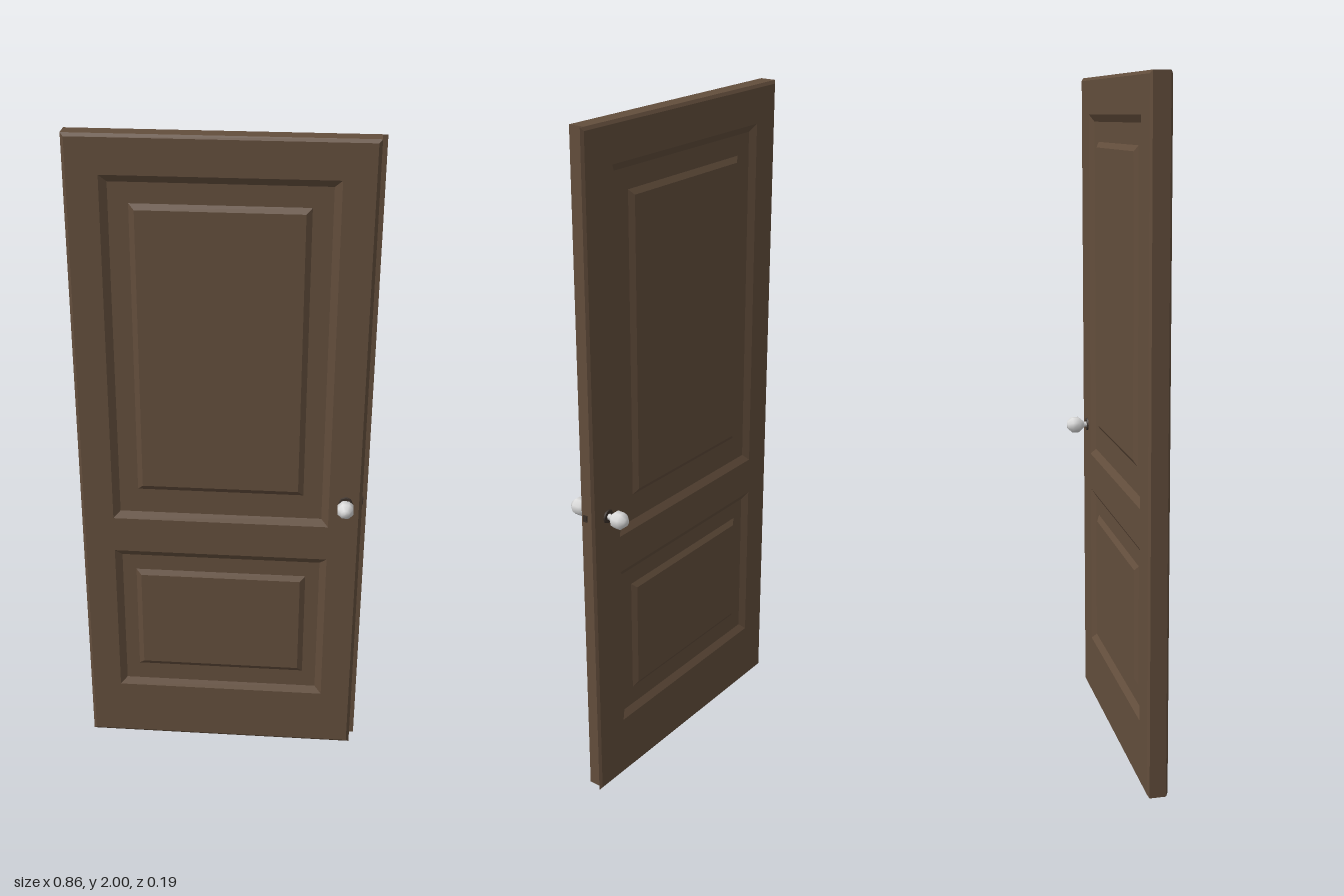
import * as THREE from 'three';

const wood = new THREE.MeshStandardMaterial({ color: 0x634e3c });
wood.name = 'brown wood';
const white = new THREE.MeshStandardMaterial({ color: 0xdcdcdc });
white.name = 'pale knob';
const dark = new THREE.MeshStandardMaterial({ color: 0x3a3029 });
dark.name = 'dark metal';

const FRONT = 0.028, BACK = -0.033, CX = -0.01;

const corners = ([x0, x1, y0, y1, z]) => [[x0, y0, z], [x1, y0, z], [x1, y1, z], [x0, y1, z]];

// Joins a row of rectangles [x0, x1, y0, y1, z] with flat quads, optionally closing the last one
function loftRects(rects, cap = false) {
  const pos = [];
  const quad = (a, b, c, d) => pos.push(...a, ...b, ...c, ...a, ...c, ...d);
  const loops = rects.map(corners);
  for (let k = 0; k + 1 < loops.length; k++) {
    const a = loops[k], b = loops[k + 1];
    for (let i = 0; i < 4; i++) {
      const j = (i + 1) % 4;
      quad(a[i], a[j], b[j], b[i]);
    }
  }
  if (cap) quad(...loops[loops.length - 1]);
  const geo = new THREE.BufferGeometry();
  geo.setAttribute('position', new THREE.Float32BufferAttribute(pos, 3));
  geo.computeVertexNormals();
  return geo;
}

function mesh(geo, mat, name) {
  const m = new THREE.Mesh(geo, mat);
  m.name = name;
  return m;
}

// Half width and height range of each recess and of its raised field
const PANELS = [
  { name: 'upperPanel', w: 0.325, y: [0.825, 1.89], fieldW: 0.248, fieldY: [0.925, 1.81] },
  { name: 'lowerPanel', w: 0.325, y: [0.195, 0.71], fieldW: 0.262, fieldY: [0.275, 0.637] },
];

// One side of the door, built facing +z; the back one is turned around
function doorFace(name, x0, x1, cx, z) {
  const group = new THREE.Group();
  group.name = name;
  const path = (C, r) => new C(corners([...r, 0]).map(([x, y]) => new THREE.Vector2(x, y)));
  const frame = path(THREE.Shape, [x0, x1, 0.009, 1.991]);

  for (const p of PANELS) {
    const ring = (w, [y0, y1], inset, depth) =>
      [cx - w + inset, cx + w - inset, y0 + inset, y1 - inset, z - depth];
    frame.holes.push(path(THREE.Path, ring(p.w, p.y, 0, 0).slice(0, 4)));
    // sloped moulding, recessed margin, raised field
    group.add(mesh(loftRects([
      ring(p.w, p.y, 0, 0),
      ring(p.w, p.y, 0.021, 0.013),
      ring(p.fieldW, p.fieldY, 0, 0.013),
      ring(p.fieldW, p.fieldY, 0.016, 0.003),
    ], true), wood, p.name));
  }
  group.add(mesh(new THREE.ShapeGeometry(frame).translate(0, 0, z), wood, 'frame'));
  return group;
}

// Knob with its rosette, turned around the z axis
function knob(name, z, side) {
  const group = new THREE.Group();
  group.name = name;
  const profile = [[0.010, 0], [0.008, 0.010], [0.012, 0.015], [0.0255, 0.029],
    [0.0255, 0.051], [0.012, 0.066], [0, 0.067]].map(([r, h]) => new THREE.Vector2(r, h));
  group.add(mesh(new THREE.LatheGeometry(profile, 8, Math.PI / 8), white, 'knobHandle'));
  const rosette = mesh(new THREE.CylinderGeometry(0.019, 0.021, 0.004, 8), dark, 'rosette');
  rosette.position.y = 0.002;
  group.add(rosette);
  group.position.set(0.364, 0.912, z);
  group.rotation.x = side * Math.PI / 2;
  return group;
}

export function createModel() {
  const door = new THREE.Group();
  door.name = 'door';

  // bevelled edges, with a thin lip along the back of the latch side
  door.add(mesh(loftRects([
    [-0.423, 0.42, 0.009, 1.991, BACK],
    [-0.432, 0.428, 0, 2, -0.027],
    [-0.432, 0.413, 0, 2, -0.026],
    [-0.432, 0.413, 0, 2, 0.021],
    [-0.423, 0.404, 0.009, 1.991, FRONT],
  ]), wood, 'doorEdges'));

  door.add(doorFace('frontFace', -0.423, 0.404, CX, FRONT));
  const back = doorFace('backFace', -0.42, 0.423, -CX, -BACK);
  back.rotation.y = Math.PI;
  door.add(back);

  door.add(knob('frontKnob', FRONT, 1), knob('backKnob', BACK, -1));

  // small latch on the door edge
  const latch = mesh(new THREE.BoxGeometry(0.004, 0.02, 0.014), dark, 'latch');
  latch.position.set(0.414, 0.912, 0.008);
  door.add(latch);
  return door;
}
